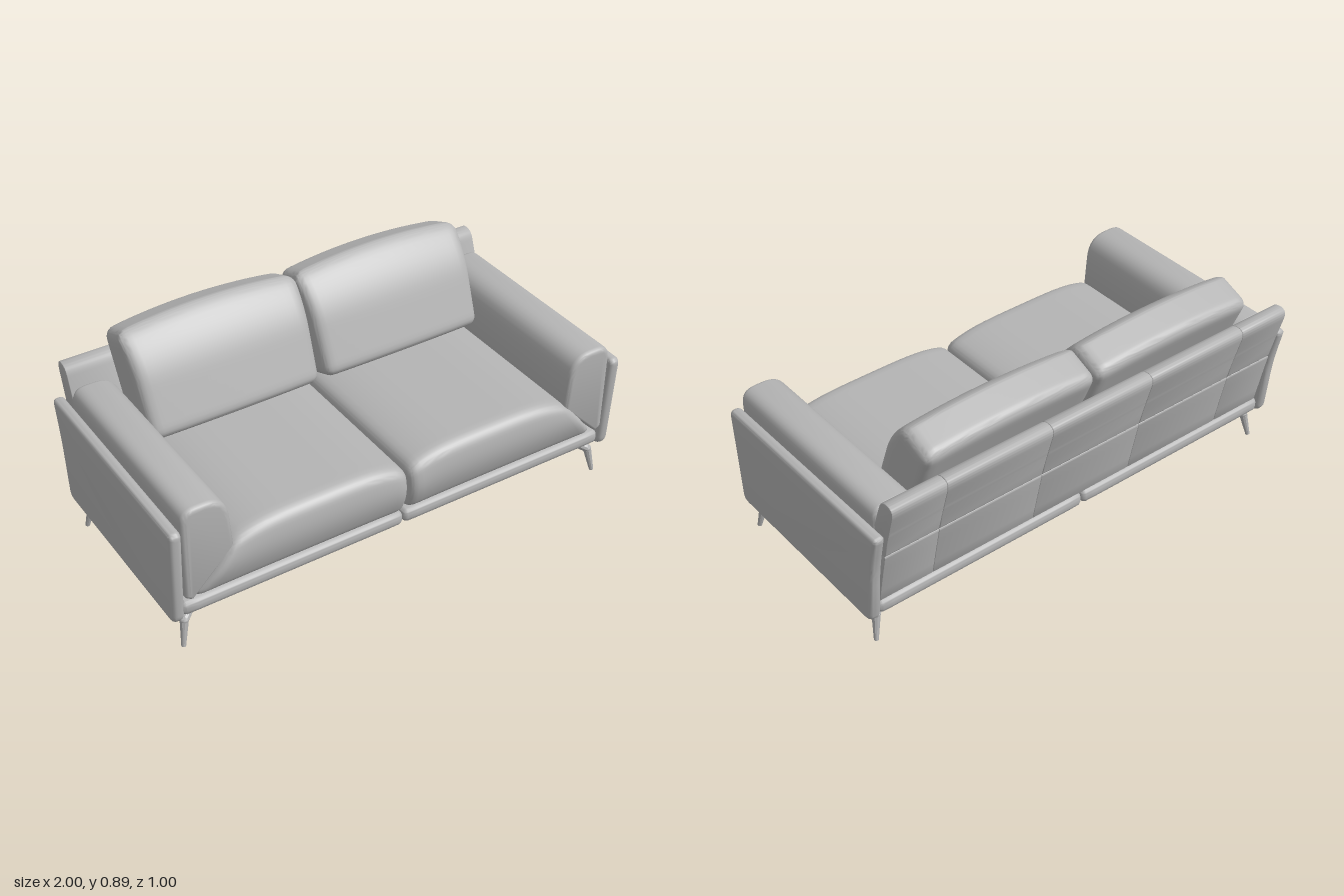
import * as THREE from 'three';
import { mergeVertices, toCreasedNormals } from 'three/addons/utils/BufferGeometryUtils.js';

const V = (x, y, z) => new THREE.Vector3(x, y, z);

// Move every vertex by a rule
function bend(geo, rule) {
  const p = geo.attributes.position, v = V(0, 0, 0);
  for (let i = 0; i < p.count; i++) {
    rule(v.fromBufferAttribute(p, i));
    p.setXYZ(i, v.x, v.y, v.z);
  }
  return geo;
}

// Finely divided box with rounded edges, centred on the origin
function softBox(w, h, d, r, n = 20) {
  const half = V(w / 2, h / 2, d / 2), inner = half.clone().subScalar(r), c = V(0, 0, 0);
  return bend(new THREE.BoxGeometry(2, 2, 2, n, n, n), v => {
    for (const k of ['x', 'y', 'z']) v[k] = Math.sin(v[k] * Math.PI / 2) * half[k];
    c.copy(v).clamp(inner.clone().negate(), inner);
    v.sub(c).setLength(r).add(c);
  });
}

// Polygon [x, y, cornerRadius] with rounded corners
function roundedShape(points) {
  const s = new THREE.Shape(), n = points.length;
  points.forEach(([x, y, r], i) => {
    const at = new THREE.Vector2(x, y);
    const toward = j => {
      const q = new THREE.Vector2(points[j][0], points[j][1]).sub(at);
      return q.setLength(Math.min(r, q.length() * 0.49)).add(at);
    };
    const a = toward((i + n - 1) % n), b = toward((i + 1) % n);
    if (i) s.lineTo(a.x, a.y); else s.moveTo(a.x, a.y);
    s.quadraticCurveTo(x, y, b.x, b.y);
  });
  s.closePath();
  return s;
}

// Extrusion from 0 to depth with softened ends
function slab(points, depth, bevel) {
  return new THREE.ExtrudeGeometry(roundedShape(points), {
    depth: depth - 2 * bevel, bevelThickness: bevel, bevelSize: bevel,
    bevelOffset: -bevel, bevelSegments: 4, curveSegments: 8,
  }).translate(0, 0, bevel);
}

// Extrusion of a [z, y, radius] profile along x
function slabAlongX(profile, x0, x1, bevel) {
  return slab(profile.map(([z, y, r]) => [-z, y, r]), x1 - x0, bevel)
    .rotateY(Math.PI / 2).translate(x0, 0, 0);
}

// Tapered bar between two points
function strut(a, b, ra, rb) {
  const dir = b.clone().sub(a);
  const geo = new THREE.CylinderGeometry(rb, ra, dir.length(), 10);
  geo.applyQuaternion(new THREE.Quaternion().setFromUnitVectors(V(0, 1, 0), dir.clone().normalize()));
  return geo.translate((a.x + b.x) / 2, (a.y + b.y) / 2, (a.z + b.z) / 2);
}

export function createModel() {
  const root = new THREE.Group();
  root.name = 'sofa';
  const grey = new THREE.MeshStandardMaterial({ color: 0xb4b4b4 });
  grey.name = 'grey upholstery';

  function add(name, geo, crease = 0.6, mirrored = false) {
    let g = geo.clone();
    g.deleteAttribute('uv');
    g.deleteAttribute('normal');
    g.clearGroups();
    g = mergeVertices(g, 1e-5);
    if (mirrored) {
      g.scale(-1, 1, 1);
      const ix = g.index;
      for (let i = 0; i < ix.count; i += 3) {
        const t = ix.getX(i);
        ix.setX(i, ix.getX(i + 1));
        ix.setX(i + 1, t);
      }
    }
    g = toCreasedNormals(g, crease);
    const mesh = new THREE.Mesh(g, grey);
    mesh.name = name;
    root.add(mesh);
  }
  function addPair(name, geo, crease) {
    add('left' + name, geo, crease);
    add('right' + name, geo, crease, true);
  }

  // Base frame, in two halves
  addPair('Base', softBox(0.957, 0.065, 0.86, 0.025, 12).translate(0.4785, 0.1825, 0.03));

  // Seat cushions: domed top, bulging front, flared out under the arms
  addPair('SeatCushion', bend(softBox(0.75, 0.21, 0.79, 0.035, 24), v => {
    const s = v.x / 0.375, t = v.y / 0.21 + 0.5;
    v.x = 0.004 + (s + 1) / 2 * (0.75 + 0.17 * (1 - t));
    v.y += 0.325 + 0.045 * t * (1 - s ** 4);
    v.z += 0.065;
    if (v.z > 0) v.z += v.z / 0.46 * 0.04 * Math.sin(Math.PI * Math.min(1, t * 0.85));
  }), 1.2);

  // Back cushions: thinner and crowned at the top, leaning back
  const lean = V(1, 0, 0);
  addPair('BackCushion', bend(softBox(0.755, 0.43, 0.22, 0.04, 24), v => {
    const s = v.x / 0.3775, t = Math.max(0, v.y / 0.215);
    if (v.z > 0) v.z *= (1 - 0.6 * t * t) * (1 + 0.12 * (1 - s * s));
    v.y += 0.028 * t * (1 - s * s);
    v.x *= 1 + 0.02 * v.y / 0.215;
    v.applyAxisAngle(lean, -0.385);
    v.add(V(0.385, 0.652, -0.285));
  }), 1.2);

  // Armrests: rounded tops, undercut along the seat cushion
  addPair('Armrest', slab([
    [0.95, 0.25, 0.015], [0.95, 0.648, 0.06], [0.765, 0.648, 0.1],
    [0.745, 0.41, 0.01], [0.92, 0.235, 0.01],
  ], 0.875, 0.02).translate(0, 0, -0.395), 0.7);

  // Side panels
  addPair('SidePanel', slabAlongX([
    [0.468, 0.14, 0.04], [0.492, 0.573, 0.03], [-0.468, 0.58, 0.025],
    [-0.43, 0.41, 0.08], [-0.403, 0.14, 0.04],
  ], 0.953, 1, 0.018), 0.7);

  // Backrest: two rows of five upholstered panels
  const rows = {
    lowerBackPanel: [[-0.33, 0.2, 0.01], [-0.385, 0.2, 0.02], [-0.412, 0.33, 0.1],
      [-0.44, 0.46, 0.012], [-0.35, 0.46, 0.01]],
    upperBackPanel: [[-0.345, 0.455, 0.01], [-0.437, 0.455, 0.012], [-0.47, 0.58, 0.1],
      [-0.505, 0.7, 0.035], [-0.48, 0.722, 0.03], [-0.432, 0.712, 0.035], [-0.385, 0.58, 0.05]],
  };
  const seams = [-0.945, -0.71, -0.24, 0.24, 0.71, 0.945];
  for (const [name, profile] of Object.entries(rows)) {
    for (let i = 0; i < 5; i++) {
      add(name + (i + 1), slabAlongX(profile, seams[i], seams[i + 1], 0.004), 0.7);
    }
  }

  // Splayed legs with a knee, mirrored front to back about z = 0.04
  for (const [name, k] of [['Front', 1], ['Back', -1]]) {
    const top = V(0.86, 0.155, 0.04 + k * 0.33);
    const knee = V(0.938, 0.107, 0.04 + k * 0.383);
    const foot = V(0.957, 0.002, 0.04 + k * 0.402);
    addPair(name + 'LegArm', strut(top, knee, 0.018, 0.017));
    addPair(name + 'LegKnee', new THREE.SphereGeometry(0.0175, 10, 8).translate(knee.x, knee.y, knee.z), 1.2);
    addPair(name + 'LegFoot', strut(knee, foot, 0.017, 0.009));
  }
  return root;
}
